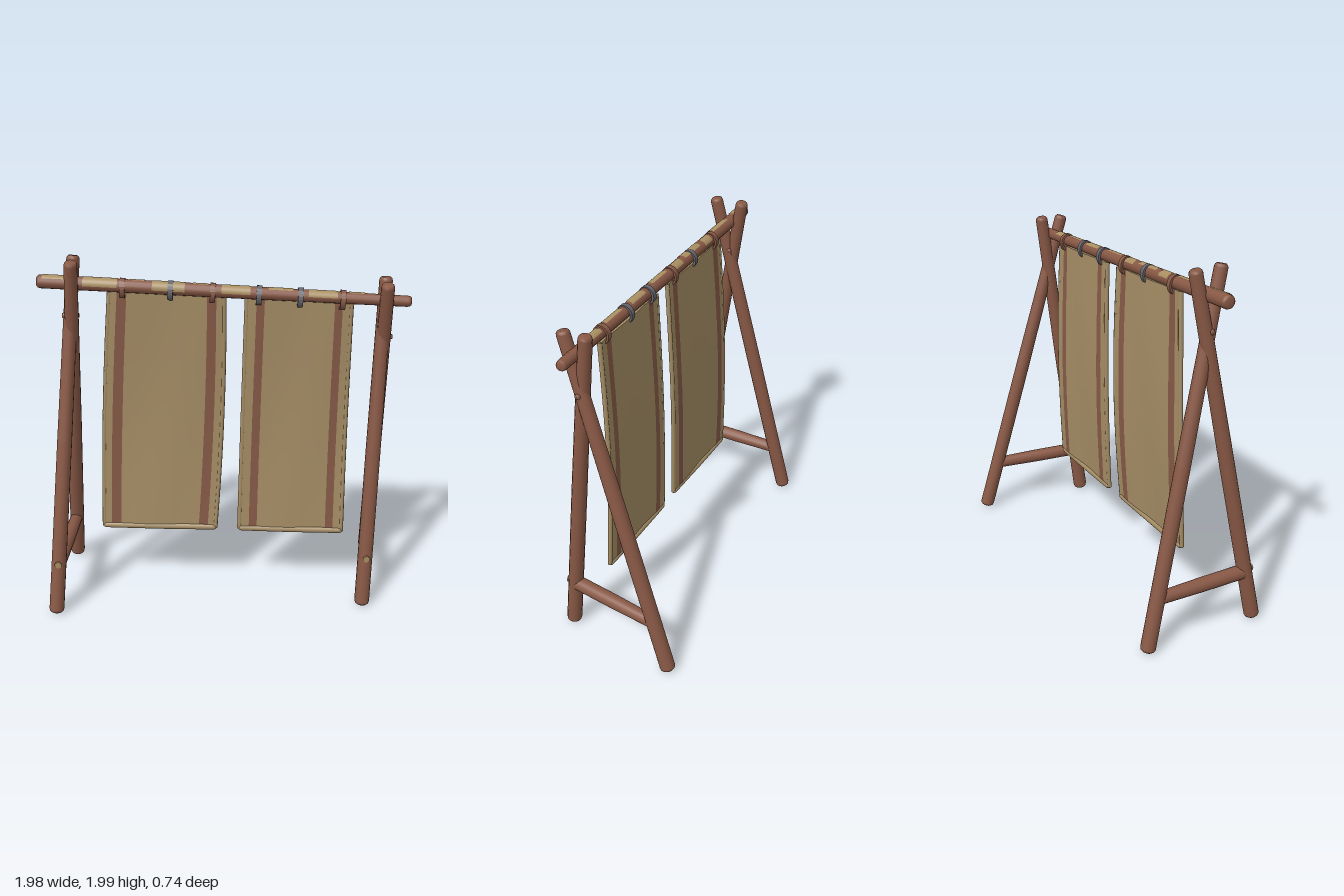
import * as THREE from 'three';

const mat = (name, color, side = THREE.FrontSide) => {
  const m = new THREE.MeshStandardMaterial({ color, side });
  m.name = name;
  return m;
};
const wood = mat('reddish wood', 0x885845);
const bare = mat('bare wood', 0xa98f62, THREE.DoubleSide);
const cloth = mat('tan cloth', 0xa58d65);
const stripe = mat('brown stripe', 0x865a47);
const iron = mat('grey iron', 0x66666c);

const V = (x, y, z) => new THREE.Vector3(x, y, z);
const UP = V(0, 1, 0);
const barA = V(-0.96, 1.865, 0.045), barB = V(0.985, 1.77, 0.185);
const barDir = barB.clone().sub(barA).normalize();
const barAt = x => barA.clone().lerp(barB, (x - barA.x) / (barB.x - barA.x));
const barRadius = x => 0.036 - 0.0035 * (x + 0.96);

function add(group, name, geometry, material) {
  const mesh = new THREE.Mesh(geometry, material);
  mesh.name = name;
  group.add(mesh);
  return mesh;
}

// Tapered round pole with softened ends, running from a to b
function pole(group, name, a, b, r0, r1, material = wood) {
  const len = a.distanceTo(b), e = Math.min(0.02, len * 0.2);
  const profile = [
    [0, 0], [r0 * 0.7, 0], [r0 * 0.92, e * 0.4], [r0, e],
    [(r0 + r1) / 2 + 0.002, len / 2],
    [r1, len - e], [r1 * 0.92, len - e * 0.4], [r1 * 0.7, len], [0, len],
  ].map(([x, y]) => new THREE.Vector2(x, y));
  const mesh = add(group, name, new THREE.LatheGeometry(profile, 14), material);
  mesh.position.copy(a);
  mesh.quaternion.setFromUnitVectors(UP, b.clone().sub(a).normalize());
}

// Crossed pair of legs with a brace and a peg through the crossing
function trestle(name, front, back, peg) {
  const g = new THREE.Group();
  g.name = name;
  pole(g, 'frontLeg', ...front, 0.042, 0.035);
  pole(g, 'backLeg', ...back, 0.042, 0.035);
  const at = ([a, b], y) => a.clone().lerp(b, (y - a.y) / (b.y - a.y));
  const f = at(front, 0.3), k = at(back, 0.3);
  pole(g, 'brace', f, k, 0.04, 0.035);
  // Bare brace end showing on the front of the leg
  const end = add(g, 'braceEnd', new THREE.CylinderGeometry(0.02, 0.02, 0.008, 10), bare);
  end.rotation.x = Math.PI / 2;
  end.position.set(f.x, 0.31, f.z + 0.042);
  pole(g, 'peg', V(peg.x - 0.045, peg.y, peg.z), V(peg.x + 0.045, peg.y, peg.z), 0.016, 0.016);
  return g;
}

// Hanging cloth: edges are [top, middle, bottom] x values
function panel(name, left, right, bottomL, bottomR, stripes) {
  const g = new THREE.Group();
  g.name = name;
  const edge = ([t, m, b], v) =>
    t * (1 - v) * (1 - 2 * v) + m * 4 * v * (1 - v) + b * v * (2 * v - 1);
  const point = (u, v) => {
    const x = THREE.MathUtils.lerp(edge(left, v), edge(right, v), u);
    const bar = barAt(x);
    const y = THREE.MathUtils.lerp(bar.y - 0.028, THREE.MathUtils.lerp(bottomL, bottomR, u), v);
    const z = bar.z - 0.02 - 0.018 * Math.sin(Math.PI * v) + 0.003 * Math.sin(u * 9 + v * 4);
    return V(x, y, z);
  };
  const cuts = [0, ...stripes, 1];
  for (let i = 0; i < 5; i++) {
    const geo = new THREE.BoxGeometry(1, 1, 0.02, i % 2 ? 2 : 6, 16, 1);
    const p = geo.attributes.position;
    for (let j = 0; j < p.count; j++) {
      const u = THREE.MathUtils.lerp(cuts[i], cuts[i + 1], p.getX(j) + 0.5);
      const q = point(u, 0.5 - p.getY(j));
      p.setXYZ(j, q.x, q.y, q.z + p.getZ(j));
    }
    geo.computeVertexNormals();
    add(g, i % 2 ? 'stripe' : 'clothStrip', geo, i % 2 ? stripe : cloth);
  }
  // Rolled bottom hem and side hems
  pole(g, 'bottomHem', point(-0.005, 0.997), point(1.005, 0.997), 0.018, 0.018, cloth);
  for (const u of [0, 1]) {
    const path = new THREE.CatmullRomCurve3([0, 0.25, 0.5, 0.75, 1].map(v => point(u, v)));
    add(g, 'sideHem', new THREE.TubeGeometry(path, 16, 0.013, 8), cloth);
  }
  return g;
}

// Flat loop around the bar
function loop(group, x, material) {
  const s = new THREE.Shape().absellipse(0, 0, 0.045, 0.052, 0, Math.PI * 2);
  s.holes.push(new THREE.Path().absellipse(0, 0, 0.033, 0.04, 0, Math.PI * 2, true));
  const geo = new THREE.ExtrudeGeometry(s, { depth: 0.028, bevelEnabled: false, curveSegments: 10 });
  geo.translate(0, 0, -0.014).rotateY(Math.PI / 2);
  const mesh = add(group, 'hangingLoop', geo, material);
  mesh.position.copy(barAt(x)).add(V(0, -0.012, -0.004));
  mesh.quaternion.setFromUnitVectors(V(1, 0, 0), barDir);
}

export function createModel() {
  const model = new THREE.Group();
  model.name = 'clothRack';

  // End supports
  model.add(trestle('rightTrestle',
    [V(-0.95, 0.01, 0.33), V(-0.77, 1.985, -0.015)],
    [V(-0.885, 0.01, -0.33), V(-0.77, 1.99, 0.145)], V(-0.795, 1.68, 0.055)));
  model.add(trestle('leftTrestle',
    [V(0.8, 0.01, 0.33), V(0.86, 1.885, 0.115)],
    [V(0.935, 0.01, -0.315), V(0.845, 1.88, 0.245)], V(0.86, 1.57, 0.155)));

  // Top bar
  pole(model, 'topBar', barA, barB, 0.036, 0.029);

  // Worn patches on the bar: [x start, x end, centre angle, arc]
  const patches = [
    [-0.93, -0.8, 5.0, 1.0], [-0.72, -0.54, 5.3, 2.0], [-0.48, -0.4, 4.2, 1.5],
    [-0.36, -0.19, 5.2, 2.4], [-0.15, -0.07, 4.3, 1.4], [0.0, 0.15, 5.3, 2.0],
    [0.24, 0.37, 4.6, 1.4], [0.45, 0.6, 5.2, 1.8], [0.66, 0.74, 4.4, 1.3],
  ];
  for (const [x0, x1, mid, arc] of patches) {
    const r = barRadius(x0) + 0.003;
    const mesh = add(model, 'wornPatch',
      new THREE.CylinderGeometry(r, r, x1 - x0, 10, 1, true, mid - arc / 2, arc), bare);
    mesh.position.copy(barAt((x0 + x1) / 2));
    mesh.quaternion.setFromUnitVectors(UP, barDir);
  }

  // Cloth panels
  model.add(panel('rightPanel', [-0.585, -0.642, -0.675], [0.015, 0.005, -0.035],
    0.405, 0.4, [0.065, 0.15, 0.85, 0.93]));
  model.add(panel('leftPanel', [0.135, 0.12, 0.105], [0.68, 0.685, 0.69],
    0.395, 0.388, [0.09, 0.168, 0.84, 0.915]));

  // Loops holding the cloth
  for (const x of [-0.515, -0.045, 0.63]) loop(model, x, stripe);
  for (const x of [-0.265, 0.195, 0.41]) loop(model, x, iron);

  return model;
}
